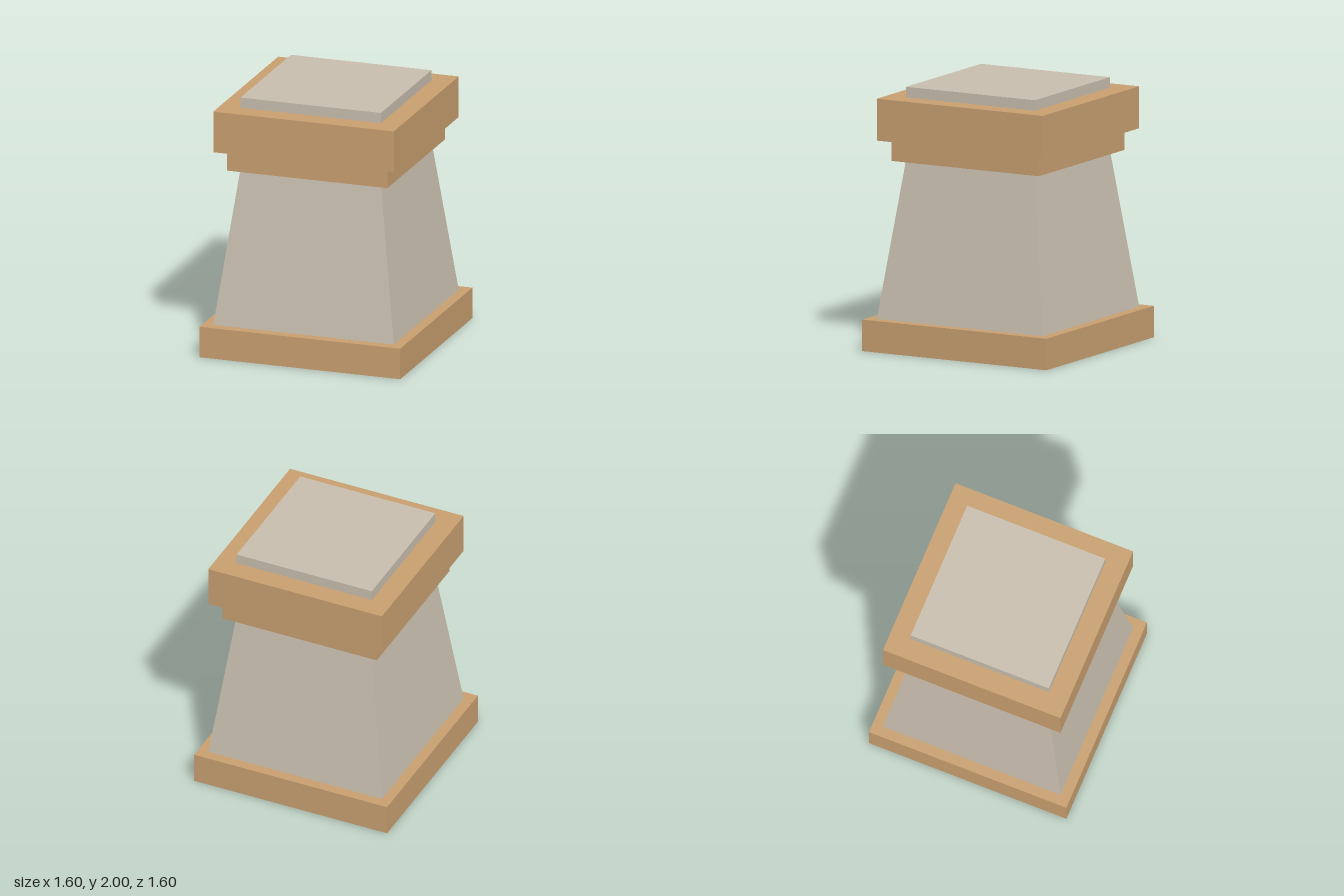
import * as THREE from 'three';

export function createModel() {
  const group = new THREE.Group();
  group.name = 'pedestal';

  const sandstone = new THREE.MeshStandardMaterial({ color: 0xc8a070 });
  sandstone.name = 'sandstone';
  const paleStone = new THREE.MeshStandardMaterial({ color: 0xc8beae });
  paleStone.name = 'paleStone';

  // Square block from y0 to y1; the top may be narrower than the bottom
  function block(name, material, y0, y1, bottom, top = bottom) {
    const height = y1 - y0;
    const geometry = new THREE.BoxGeometry(bottom, height, bottom);
    const p = geometry.attributes.position;
    for (let i = 0; i < p.count; i++) {
      const s = p.getY(i) > 0 ? top / bottom : 1;
      p.setXYZ(i, p.getX(i) * s, p.getY(i), p.getZ(i) * s);
    }
    geometry.computeVertexNormals();
    const mesh = new THREE.Mesh(geometry, material);
    mesh.name = name;
    mesh.position.y = y0 + height / 2;
    group.add(mesh);
  }

  block('base', sandstone, 0, 0.24, 1.6);
  block('taperedShaft', paleStone, 0.24, 1.44, 1.44, 1.12);
  block('neckMoulding', sandstone, 1.44, 1.6, 1.28);
  block('cornice', sandstone, 1.6, 1.92, 1.44);
  block('topSlab', paleStone, 1.92, 2, 1.12);

  return group;
}
